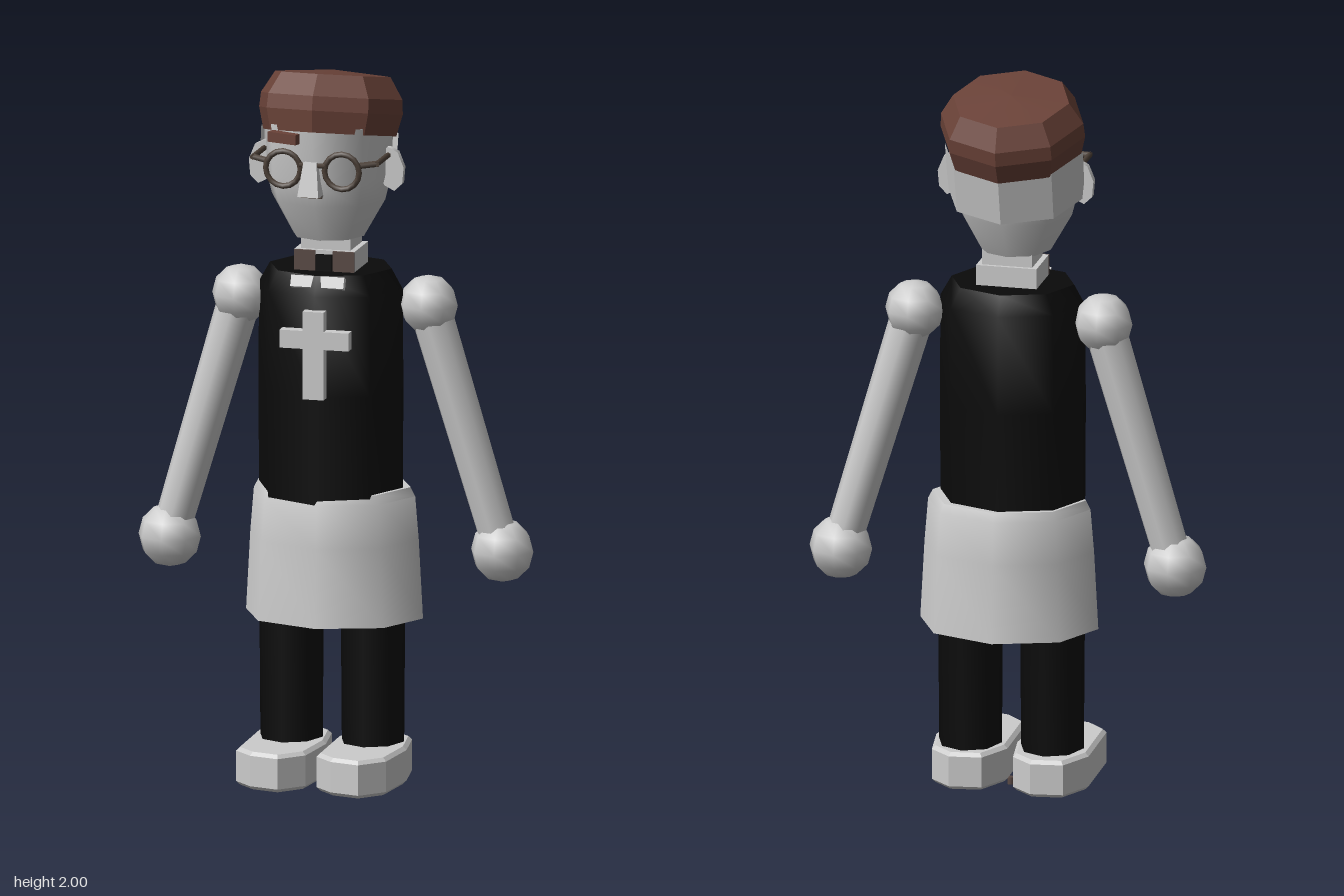
import * as THREE from 'three';
import { toCreasedNormals } from 'three/addons/utils/BufferGeometryUtils.js';

const material = (name, color, side = THREE.FrontSide) => {
  const m = new THREE.MeshStandardMaterial({ color, side });
  m.name = name;
  return m;
};

export function createModel() {
  const pale = material('pale grey', 0xcccccc, THREE.DoubleSide);
  const black = material('black cloth', 0x0a0a0a);
  const capBrown = material('cap brown', 0x6a4238);
  const frameBrown = material('frame brown', 0x4c4037);
  const collarBrown = material('collar brown', 0x5a4a45);

  const model = new THREE.Group();
  model.name = 'standingFigure';

  const add = (name, geometry, mat, x = 0, y = 0, z = 0, parent = model) => {
    const mesh = new THREE.Mesh(geometry, mat);
    mesh.name = name;
    mesh.position.set(x, y, z);
    parent.add(mesh);
    return mesh;
  };
  const box = (name, mat, w, h, d, x, y, z, parent) =>
    add(name, new THREE.BoxGeometry(w, h, d), mat, x, y, z, parent);
  // Eight-sided turned form, listed bottom to top as [radius, height]
  const turned = (points, depth = 1, crease = 0.9, segments = 8, start = 0, sweep = Math.PI * 2) => {
    const geo = new THREE.LatheGeometry(points.map(p => new THREE.Vector2(...p)), segments, start, sweep);
    geo.scale(1, 1, depth);
    return toCreasedNormals(geo, crease);
  };
  // Round bar between two points
  const bar = (name, mat, a, b, r1, r2, sides = 8, parent = model) => {
    const from = new THREE.Vector3(...a), to = new THREE.Vector3(...b);
    const dir = to.clone().sub(from);
    const mesh = add(name, new THREE.CylinderGeometry(r2, r1, dir.length(), sides), mat, 0, 0, 0, parent);
    mesh.position.copy(from).add(to).multiplyScalar(0.5);
    mesh.quaternion.setFromUnitVectors(new THREE.Vector3(0, 1, 0), dir.normalize());
    return mesh;
  };

  // Torso and skirt
  add('torso', turned([[0, 0.8], [0.203, 0.8], [0.205, 1.1], [0.203, 1.38], [0.172, 1.435], [0, 1.435]], 0.85),
    black, -0.007, 0, -0.028);
  add('skirt', turned([[0.25, 0.46], [0.238, 0.68], [0.228, 0.8], [0.215, 0.825], [0, 0.825]], 0.82),
    pale, 0, 0, -0.04);

  // Chest cross and neck band
  const cross = new THREE.Group();
  cross.name = 'chestCross';
  model.add(cross);
  box('crossUpright', pale, 0.06, 0.245, 0.035, -0.005, 1.222, 0.148, cross);
  box('crossArm', pale, 0.195, 0.05, 0.033, -0.003, 1.265, 0.147, cross);
  const band = box('chestBand', pale, 0.15, 0.032, 0.02, -0.005, 1.416, 0.112);
  band.rotation.x = -0.4;

  // Neck and collar
  const square = (w, h, d) => new THREE.BoxGeometry(w, h, d);
  add('neck', square(0.14, 0.1, 0.12), pale, -0.005, 1.49, -0.025);
  add('collar', square(0.17, 0.06, 0.14), pale, -0.005, 1.462, -0.025);
  for (const s of [-1, 1]) {
    box('collarFlap', collarBrown, 0.06, 0.058, 0.009, -0.005 + s * 0.055, 1.462, 0.048);
  }
  box('collarKnot', black, 0.045, 0.045, 0.012, -0.005, 1.458, 0.05);

  // Head
  const head = new THREE.Group();
  head.name = 'head';
  head.position.x = -0.01;
  model.add(head);
  add('face', turned([[0, 1.525], [0.1, 1.525], [0.16, 1.63], [0.178, 1.7], [0.183, 1.85], [0, 1.87]], 0.93),
    pale, 0, 0, -0.015, head);
  const nose = new THREE.CylinderGeometry(0.026, 0.042, 0.095, 4, 1);
  nose.rotateY(Math.PI / 4);
  const noseMesh = add('nose', toCreasedNormals(nose, 0.3), pale, -0.004, 1.712, 0.152, head);
  noseMesh.rotation.x = -0.12;
  box('mouth', frameBrown, 0.06, 0.008, 0.008, -0.004, 1.663, 0.148, head);
  const brow = box('eyebrow', capBrown, 0.09, 0.028, 0.03, -0.085, 1.82, 0.132, head);
  brow.rotation.y = -0.3;
  for (const s of [-1, 1]) {
    const ear = add('ear', new THREE.CylinderGeometry(1, 1, 0.02, 8), pale, s * 0.183, 1.722, 0, head);
    ear.rotation.x = Math.PI / 2;
    ear.rotation.y = s * 0.15;
    ear.scale.set(0.036, 1, 0.062);
  }

  // Round glasses
  const glasses = new THREE.Group();
  glasses.name = 'glasses';
  head.add(glasses);
  for (const s of [-1, 1]) {
    add('lensRim', new THREE.TorusGeometry(0.049, 0.008, 6, 16), frameBrown, s * 0.083, 1.738, 0.152, glasses);
    bar('rimHinge', frameBrown, [s * 0.128, 1.755, 0.142], [s * 0.178, 1.76, 0.12], 0.009, 0.009, 6, glasses);
    bar('temple', frameBrown, [s * 0.175, 1.76, 0.13], [s * 0.175, 1.76, -0.01], 0.008, 0.008, 6, glasses);
  }
  bar('bridge', frameBrown, [-0.036, 1.752, 0.155], [0.036, 1.752, 0.155], 0.007, 0.007, 6, glasses);

  // Tilted cap with the hair at the back of the head
  const headwear = new THREE.Group();
  headwear.name = 'capAndHair';
  headwear.position.set(0, 1.805, -0.027);
  headwear.rotation.x = -0.21;
  head.add(headwear);
  add('cap', turned([[0, 0], [0.188, 0], [0.203, 0.06], [0.2, 0.1], [0.163, 0.16], [0, 0.172]], 1, 0.1),
    capBrown, 0, 0, 0, headwear);
  add('hair', turned([[0.175, -0.13], [0.192, -0.13], [0.194, 0.01]], 0.96, 0.1, 4, Math.PI / 2, Math.PI),
    pale, 0, 0, 0, headwear);

  // Arms with ball shoulders and hands; the left arm swings slightly back
  for (const [side, s, handZ] of [['right', -1, -0.03], ['left', 1, -0.08]]) {
    const shoulder = [s * 0.265, 1.338, -0.045], hand = [s * 0.463, 0.655, handZ];
    bar(side + 'Arm', pale, hand, shoulder, 0.053, 0.06);
    add(side + 'Shoulder', new THREE.SphereGeometry(0.082, 8, 6), pale, ...shoulder);
    add(side + 'Hand', new THREE.SphereGeometry(0.088, 8, 6), pale, ...hand);
  }

  // Legs and blunt shoes
  const outline = [[-0.095, 0.16], [-0.045, 0.21], [0.03, 0.23], [0.085, 0.17], [0.1, 0.02],
    [0.08, -0.11], [0.025, -0.16], [-0.055, -0.15], [-0.1, -0.06]];
  for (const [side, s] of [['right', -1], ['left', 1]]) {
    add(side + 'Leg', turned([[0.088, 0.1], [0.091, 0.48], [0.091, 0.78]], 1.15), black,
      s * 0.115 - 0.005, 0, -0.035);
    const shape = new THREE.Shape(outline.map(([x, z]) => new THREE.Vector2(x, -z)));
    const shoe = new THREE.ExtrudeGeometry(shape,
      { depth: 0.085, bevelEnabled: true, bevelSize: 0.01, bevelThickness: 0.01, bevelSegments: 1 });
    shoe.rotateX(-Math.PI / 2);
    add(side + 'Shoe', shoe, pale, s * 0.116 - 0.005, 0.02, s > 0 ? 0.005 : -0.012);
  }
  // Small peg between the shoes
  add('standPeg', new THREE.CylinderGeometry(0.01, 0.01, 0.02, 8), collarBrown, -0.005, 0.01, -0.04);

  return model;
}
